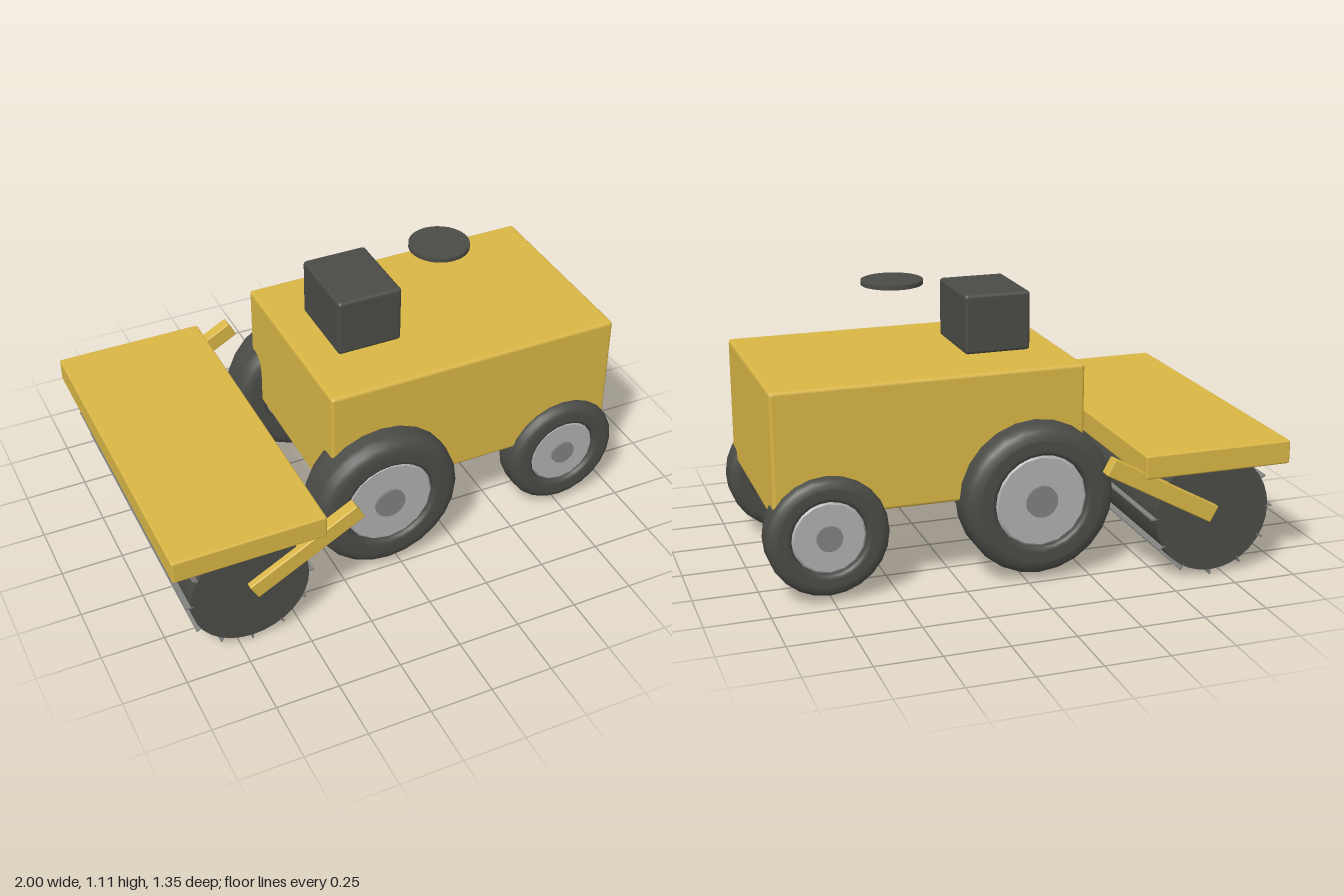
import * as THREE from 'three';
import { RoundedBoxGeometry } from 'three/addons/geometries/RoundedBoxGeometry.js';
import { toCreasedNormals } from 'three/addons/utils/BufferGeometryUtils.js';

const material = (name, color) => {
  const m = new THREE.MeshStandardMaterial({ color });
  m.name = name;
  return m;
};

export function createModel() {
  const yellow = material('yellow paint', 0xd8b545);
  const dark = material('dark rubber', 0x4a4b46);
  const steel = material('light steel', 0xaeaeb0);
  const cap = material('grey steel', 0x80807f);
  const model = new THREE.Group();
  model.name = 'rollerMachine';

  const add = (parent, name, geometry, mat, x = 0, y = 0, z = 0) => {
    const mesh = new THREE.Mesh(geometry, mat);
    mesh.name = name;
    mesh.position.set(x, y, z);
    parent.add(mesh);
    return mesh;
  };
  const block = (w, h, d, r) => new RoundedBoxGeometry(w, h, d, 2, r);

  // Body, cab and floating round plate
  add(model, 'body', block(1.215, 0.495, 0.81, 0.014), yellow, 0.352, 0.577, 0);
  add(model, 'cab', block(0.265, 0.235, 0.338, 0.014), dark, 0.013, 0.949, 0);
  add(model, 'roundPlate', new THREE.CylinderGeometry(0.12, 0.12, 0.017, 32), dark, 0.387, 1.104, 0);

  // Tyre: rounded cross-section turned around the axle
  const tyreGeometry = (inner, outer, half, round) => {
    const points = [];
    const corners = [[outer, -1, -90], [outer, 1, 0], [inner, 1, 90], [inner, -1, 180]];
    for (const [r, side, start] of corners) {
      const bend = r === outer ? round : 0.02;
      const cx = r === outer ? r - bend : r + bend;
      const cy = side * (half - bend);
      for (let i = 0; i <= 4; i++) {
        const a = THREE.MathUtils.degToRad(start + i * 22.5);
        points.push(new THREE.Vector2(cx + bend * Math.cos(a), cy + bend * Math.sin(a)));
      }
    }
    points.push(points[0].clone());
    return new THREE.LatheGeometry(points, 24);
  };

  // Hub: bevelled disc
  const hubGeometry = (r, half) => toCreasedNormals(new THREE.LatheGeometry([
    [0, -half], [r - 0.008, -half], [r, -half + 0.008],
    [r, half - 0.008], [r - 0.008, half], [0, half],
  ].map(([x, y]) => new THREE.Vector2(x, y)), 16), 0.5);

  const addWheel = (name, x, y, z, radius, half, hubRadius, capRadius) => {
    const wheel = new THREE.Group();
    wheel.name = name;
    wheel.position.set(x, y, z);
    wheel.rotation.x = Math.PI / 2;
    add(wheel, 'tyre', tyreGeometry(hubRadius, radius, half, half * 0.55), dark);
    add(wheel, 'hub', hubGeometry(hubRadius, half - 0.015), steel);
    add(wheel, 'hubCap', new THREE.CylinderGeometry(capRadius, capRadius, 2 * half - 0.01, 24), cap);
    model.add(wheel);
  };

  // Roller drum with lengthwise bars
  const drum = new THREE.Group();
  drum.name = 'rollerDrum';
  drum.position.set(-0.695, 0.255, 0);
  const core = add(drum, 'drumCore', new THREE.CylinderGeometry(0.235, 0.235, 1.286, 32), dark);
  core.rotation.x = Math.PI / 2;
  for (let i = 0; i < 12; i++) {
    const a = i * Math.PI / 6;
    const bar = add(drum, 'drumBar', new THREE.BoxGeometry(0.03, 0.006, 1.286), cap,
      0.24 * Math.cos(a), 0.24 * Math.sin(a), 0);
    bar.rotation.z = a;
  }
  model.add(drum);

  // Deck over the drum
  add(model, 'drumDeck', block(0.603, 0.094, 1.35, 0.008), yellow, -0.699, 0.478, 0);

  // Mirrored wheels and drum arms
  for (const side of [-1, 1]) {
    addWheel('largeWheel', -0.052, 0.325, side * 0.405, 0.301, 0.101, 0.183, 0.063);
    addWheel('smallWheel', 0.76, 0.256, side * 0.374, 0.235, 0.073, 0.142, 0.05);
    const arm = add(model, 'drumArm', block(0.494, 0.07, 0.05, 0.005), yellow, -0.475, 0.376, side * 0.645);
    arm.rotation.z = 0.503;
  }
  return model;
}
